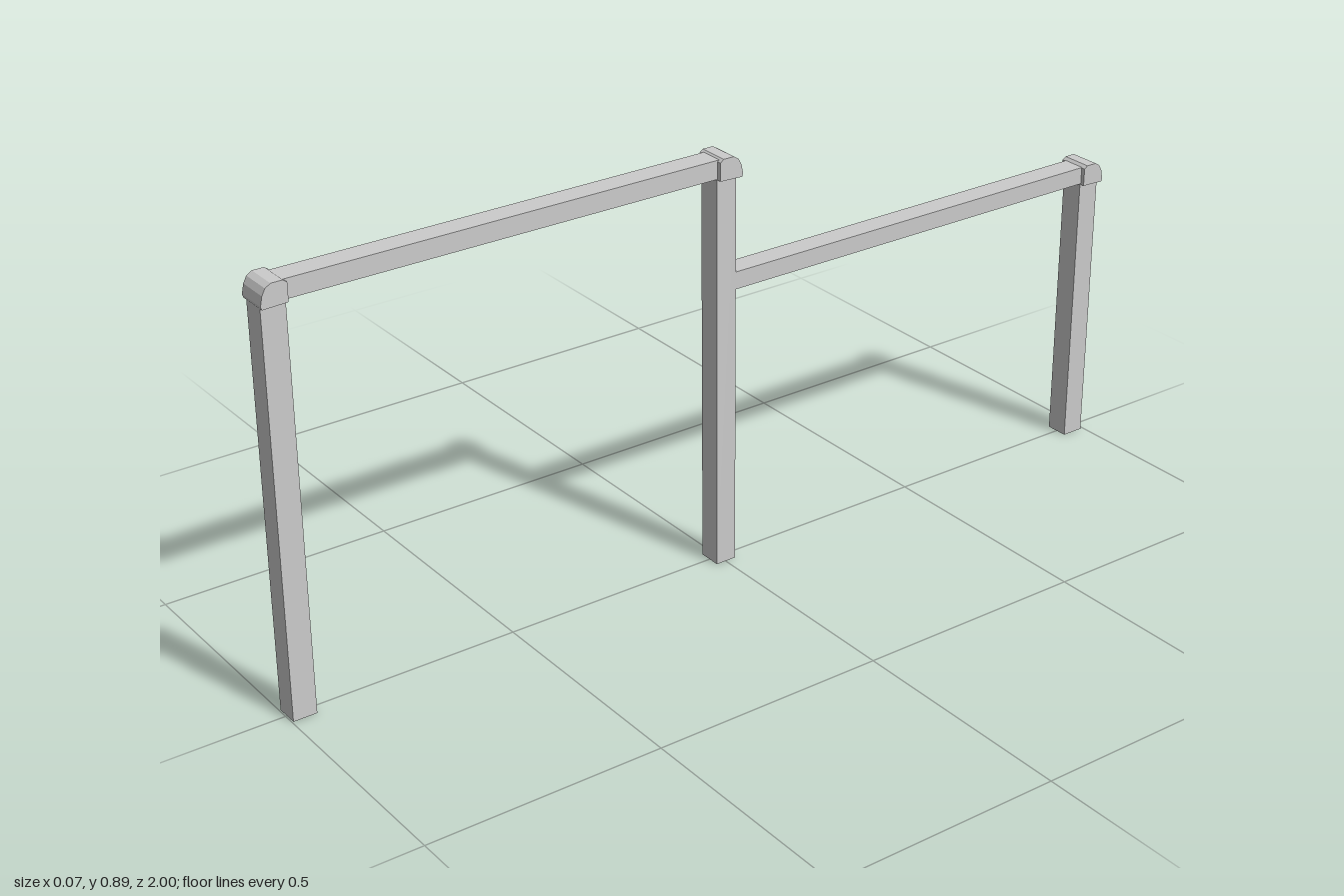
import * as THREE from 'three';

export function createModel() {
  const model = new THREE.Group();
  const material = new THREE.MeshStandardMaterial({ color: 0xcccccc, flatShading: true });
  const WIDTH = 0.05, CAP_WIDTH = 0.068;

  const add = (name, geometry) => {
    const mesh = new THREE.Mesh(geometry, material);
    mesh.name = name;
    model.add(mesh);
    return mesh;
  };

  // Square bar spanning y0..y1 and z0..z1
  const bar = (name, y0, y1, z0, z1) =>
    add(name, new THREE.BoxGeometry(WIDTH, y1 - y0, z1 - z0))
      .position.set(0, (y0 + y1) / 2, (z0 + z1) / 2);

  // Elbow cap: rounded on its outer top edge; dir is the outward z direction
  const profile = [[0, 0.002], [0, 0.04], [0.008, 0.046], [0.032, 0.046],
    [0.043, 0.039], [0.05, 0.026], [0.054, 0.007], [0.052, 0]];
  const cap = (name, y, zInner, dir) => {
    const shape = new THREE.Shape(profile.map(([s, h]) => new THREE.Vector2(s, h)));
    const geometry = new THREE.ExtrudeGeometry(shape, { depth: CAP_WIDTH, bevelEnabled: false });
    geometry.translate(0, 0, -CAP_WIDTH / 2);
    const mesh = add(name, geometry);
    mesh.rotation.y = -dir * Math.PI / 2;
    mesh.position.set(0, y, zInner);
  };

  // Posts
  bar('frontPost', 0, 0.848, 0.947, 0.997);
  bar('middlePost', 0, 0.848, -0.024, 0.022);
  bar('backPost', 0, 0.606, -0.993, -0.944);

  // Upper and lower handrails
  bar('upperRail', 0.846, 0.885, -0.015, 0.975);
  bar('lowerRail', 0.604, 0.641, -0.97, -0.01);

  // Elbow caps
  cap('frontCap', 0.842, 0.946, 1);
  cap('middleCap', 0.842, 0.02, -1);
  cap('backCap', 0.6, -0.946, -1);

  return model;
}
